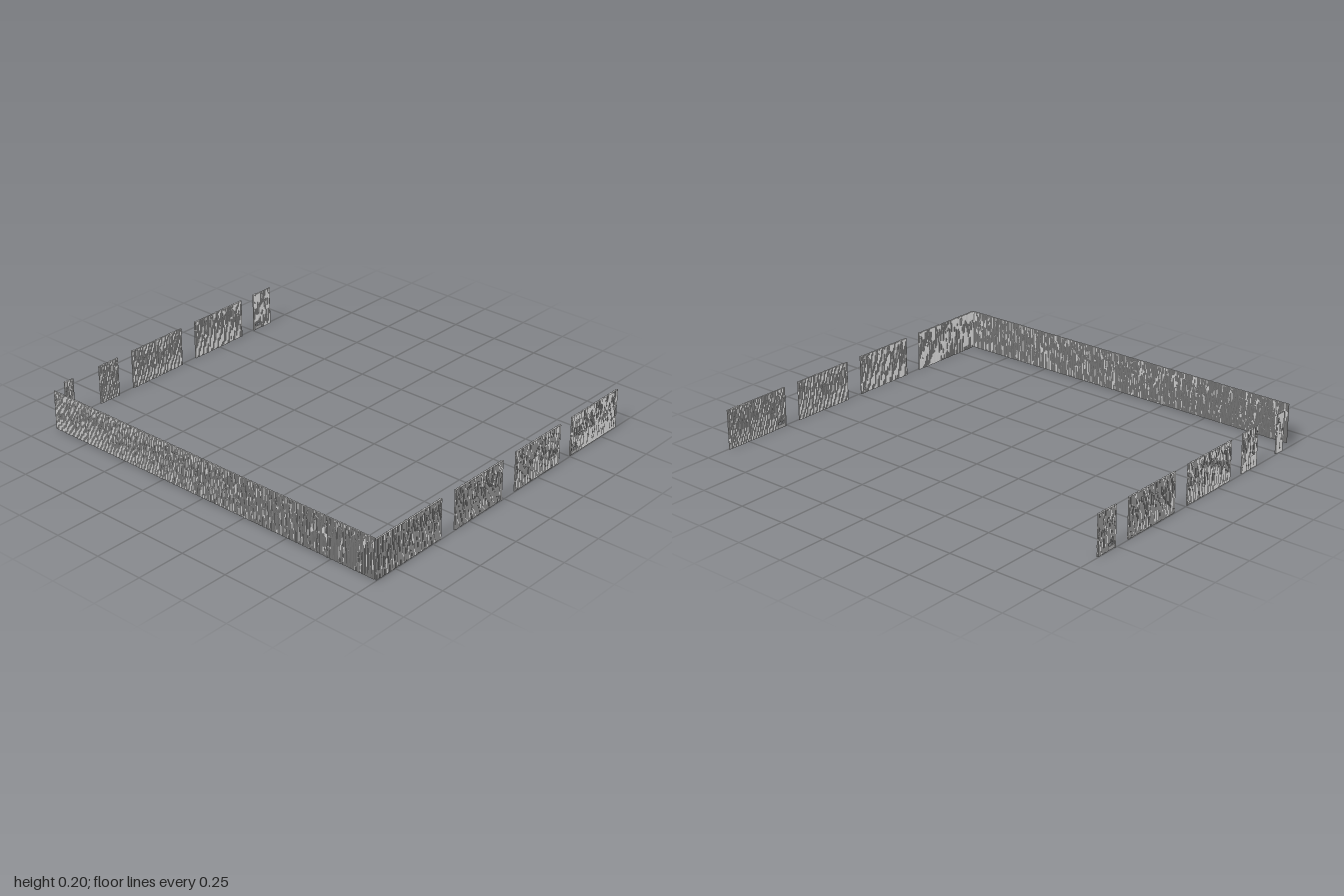
import * as THREE from 'three';

const HEIGHT = 0.2;
const PITCH = 0.008; // spacing of the grain ridges
const material = new THREE.MeshStandardMaterial({ color: 0xcccccc, flatShading: true });

let seed = 7;
function rand() {
  seed = (seed * 16807) % 2147483647;
  return seed / 2147483647;
}

function rectangle([x0, x1, y0, y1], Type) {
  return new Type([[x0, y0], [x1, y0], [x1, y1], [x0, y1]].map(([x, y]) => new THREE.Vector2(x, y)));
}

// Slab from u0 to u1, centred on its thickness, with small slots cut through
function slab(u0, u1, depth, slots) {
  const shape = rectangle([u0, u1, 0, HEIGHT], THREE.Shape);
  slots.forEach((s) => shape.holes.push(rectangle(s, THREE.Path)));
  return new THREE.ExtrudeGeometry(shape, { depth, bevelEnabled: false }).translate(0, 0, -depth / 2);
}

// One roof-shaped streak of wood grain, tapered at its ends and wandering sideways
function addStreak(out, u, y0, y1, base, relief, dir) {
  const w = PITCH * (0.36 + rand() * 0.1);
  const drift = (rand() - 0.5) * PITCH * 0.3;
  const levels = [0, 0.3, 0.7, 1].map((t) => {
    const y = y0 + (y1 - y0) * t;
    const tip = (t === 0 && y0 > 0) || (t === 1 && y1 < HEIGHT);
    const half = tip ? w * 0.3 : w;
    const x = u + drift * Math.sin(t * 5);
    return {
      left: [x - dir * half, y, dir * base],
      crest: [x, y, dir * (base + relief)],
      right: [x + dir * half, y, dir * base],
    };
  });
  const quad = (a, b, c, d) => out.push(...a, ...b, ...c, ...a, ...c, ...d);
  for (let i = 0; i < 3; i++) {
    const a = levels[i];
    const b = levels[i + 1];
    quad(a.left, a.crest, b.crest, b.left);
    quad(a.crest, a.right, b.right, b.crest);
  }
  out.push(...levels[0].left, ...levels[0].right, ...levels[0].crest);
  out.push(...levels[3].right, ...levels[3].left, ...levels[3].crest);
}

// Grain streaks on both faces of a panel, with bare patches left between them
function grain(u0, u1, base, relief, slots) {
  const out = [];
  const count = Math.round((u1 - u0) / PITCH);
  const step = (u1 - u0) / count;
  for (const dir of [1, -1]) {
    for (let i = 0; i < count; i++) {
      const u = u0 + (i + 0.5) * step;
      const slot = slots.find((s) => u > s[0] - PITCH / 2 && u < s[1] + PITCH / 2);
      let y = slot ? slot[3] + 0.002 : 0;
      while (y < HEIGHT) {
        let end = y + 0.05 + rand() * 0.13;
        if (end > HEIGHT - 0.025) end = HEIGHT;
        addStreak(out, u, y, end, base, relief, dir);
        y = end + 0.004 + (rand() < 0.4 ? rand() * 0.05 : 0);
      }
    }
  }
  const geometry = new THREE.BufferGeometry();
  geometry.setAttribute('position', new THREE.Float32BufferAttribute(out, 3));
  geometry.computeVertexNormals();
  return geometry;
}

function panel(name, u0, u1, thickness, slots = []) {
  const group = new THREE.Group();
  group.name = name;
  const core = thickness * 0.45;
  const relief = (thickness - core) / 2;
  const board = new THREE.Mesh(slab(u0, u1, core, slots), material);
  board.name = 'board';
  const ridges = new THREE.Mesh(grain(u0, u1, core / 2, relief, slots), material);
  ridges.name = 'woodGrain';
  group.add(board, ridges);
  return group;
}

export function createModel() {
  const model = new THREE.Group();
  model.name = 'fenceWalls';

  const pairSlots = [[0.519, 0.529, 0.018, 0.032], [0.533, 0.554, 0.018, 0.032]];
  const singleSlot = [[-0.044, -0.03, 0.018, 0.03]];

  // Front wall: four panels with gaps
  const front = new THREE.Group();
  front.name = 'frontWall';
  front.position.z = 0.994;
  [[-0.872, -0.442], [-0.35, -0.013, singleSlot], [0.08, 0.418], [0.505, 0.873, pairSlots]]
    .forEach(([a, b, s], i) => front.add(panel(`frontPanel${i + 1}`, a, b, 0.012, s)));

  // Back wall: five panels of uneven width
  const back = new THREE.Group();
  back.name = 'backWall';
  back.position.z = -0.994;
  [[-0.783, -0.728], [-0.565, -0.442], [-0.35, -0.013], [0.08, 0.418], [0.505, 0.63, pairSlots]]
    .forEach(([a, b, s], i) => back.add(panel(`backPanel${i + 1}`, a, b, 0.012, s)));

  // Right wall: one long unbroken panel, stopping short of the back
  const side = panel('rightWall', -0.986, 0.967, 0.01);
  side.rotation.y = Math.PI / 2;
  side.position.x = -0.869;

  model.add(front, back, side);
  return model;
}
